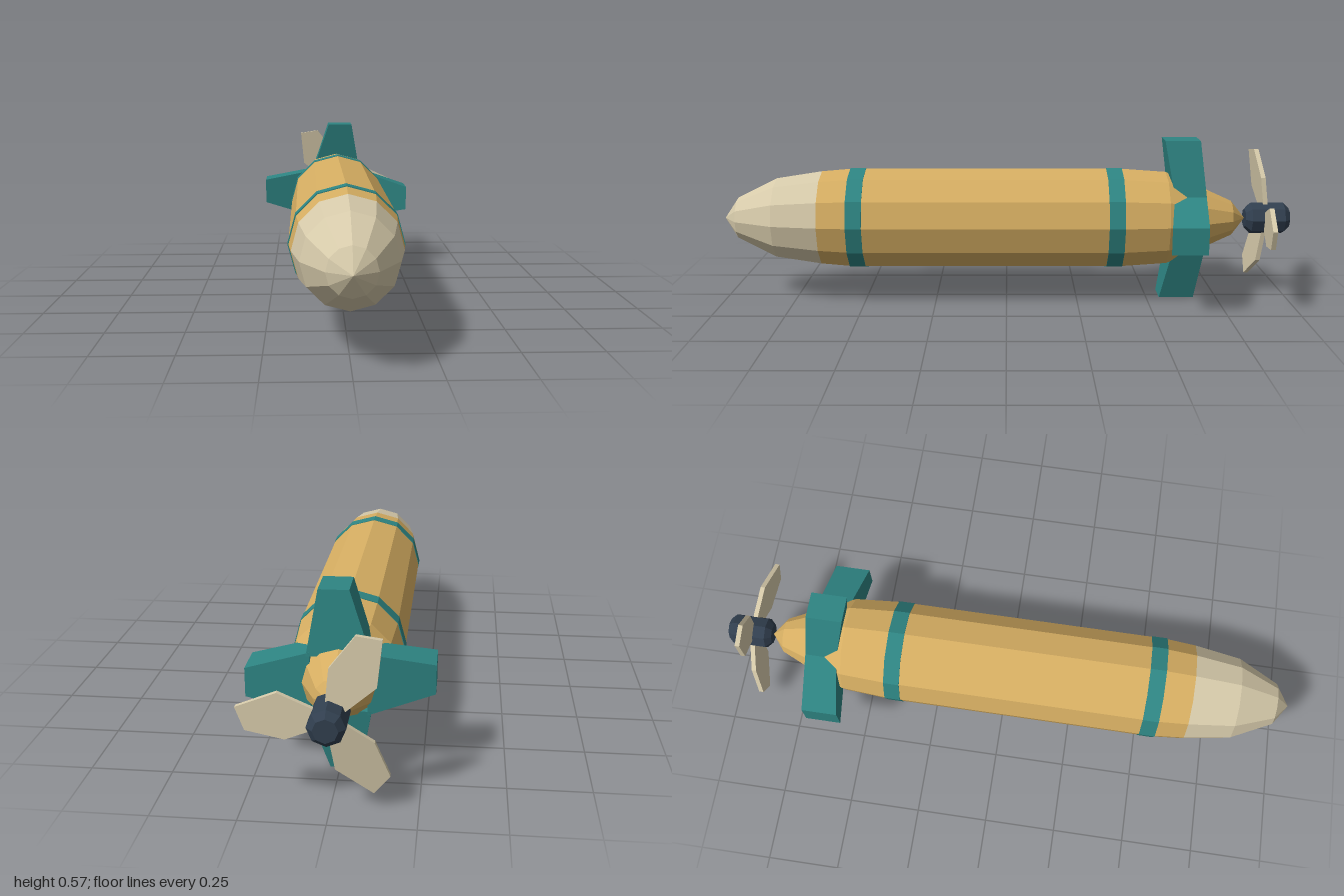
import * as THREE from 'three';

const flat = (name, color) => {
  const m = new THREE.MeshStandardMaterial({ color, flatShading: true });
  m.name = name;
  return m;
};

export function createModel() {
  const gold = flat('gold', 0xd6ae62);
  const cream = flat('cream', 0xd6caaa);
  const teal = flat('teal', 0x2e8583);
  const navy = flat('navy', 0x313f4f);

  const root = new THREE.Group();
  root.name = 'torpedo';
  const hull = new THREE.Group();
  hull.name = 'hull';
  hull.position.y = 0.285;
  root.add(hull);

  const add = (parent, name, geo, mat) => {
    const mesh = new THREE.Mesh(geo, mat);
    mesh.name = name;
    parent.add(mesh);
    return mesh;
  };

  // Turned part along z; profile is [z, radius] from back to front
  const turned = (profile, sides) =>
    new THREE.LatheGeometry(profile.map(([z, r]) => new THREE.Vector2(r, z)), sides).rotateX(Math.PI / 2);

  // Body
  add(hull, 'body', turned([
    [-0.845, 0], [-0.795, 0.062], [-0.69, 0.11], [-0.56, 0.166],
    [-0.4, 0.1775], [0.54, 0.1775], [0.65, 0.168],
  ], 12), gold);
  add(hull, 'nose', turned([[0.65, 0.168], [0.81, 0.143], [0.95, 0.073], [1, 0]], 12), cream);

  // Painted bands
  for (const [name, z] of [['frontBand', 0.522], ['rearBand', -0.378]]) {
    const h = 0.0275;
    add(hull, name, turned([
      [z - h, 0.176], [z - h, 0.1795], [z + h, 0.1795], [z + h, 0.176],
    ], 12), teal);
  }

  // Four tapered fins, wide at the root and slightly offset at the tip
  const fin = new THREE.BoxGeometry(1, 1, 1);
  const p = fin.attributes.position;
  for (let i = 0; i < p.count; i++) {
    const tip = p.getY(i) > 0;
    const front = p.getZ(i) > 0;
    const side = Math.sign(p.getX(i));
    p.setXYZ(i,
      tip ? 0.016 + side * 0.046 : side * 0.097,
      tip ? 0.285 : 0.085,
      tip ? (front ? -0.547 : -0.669) : (front ? -0.583 : -0.692));
  }
  ['topFin', 'rightFin', 'bottomFin', 'leftFin'].forEach((name, k) => {
    add(hull, name, fin, teal).rotation.z = k * Math.PI / 2;
  });

  // Propeller hub
  const propeller = new THREE.Group();
  propeller.name = 'propeller';
  hull.add(propeller);
  add(propeller, 'hub', turned([
    [-1, 0], [-1, 0.036], [-0.98, 0.055], [-0.865, 0.055], [-0.845, 0.034], [-0.845, 0],
  ], 8), navy);

  // Three blades, raked forward toward the tip
  const outline = [[0.03, -0.026], [0.13, -0.063], [0.244, -0.037], [0.265, 0.033], [0.14, 0.078], [0.03, 0.026]];
  const blade = new THREE.ExtrudeGeometry(
    new THREE.Shape(outline.map(([x, y]) => new THREE.Vector2(x, y))),
    { depth: 0.016, bevelEnabled: false });
  const b = blade.attributes.position;
  for (let i = 0; i < b.count; i++) b.setZ(i, b.getZ(i) - 0.929 + 0.116 * b.getX(i));
  for (let k = 0; k < 3; k++) {
    add(propeller, 'blade' + (k + 1), blade, cream).rotation.z = THREE.MathUtils.degToRad(115.5 + 120 * k);
  }

  return root;
}
